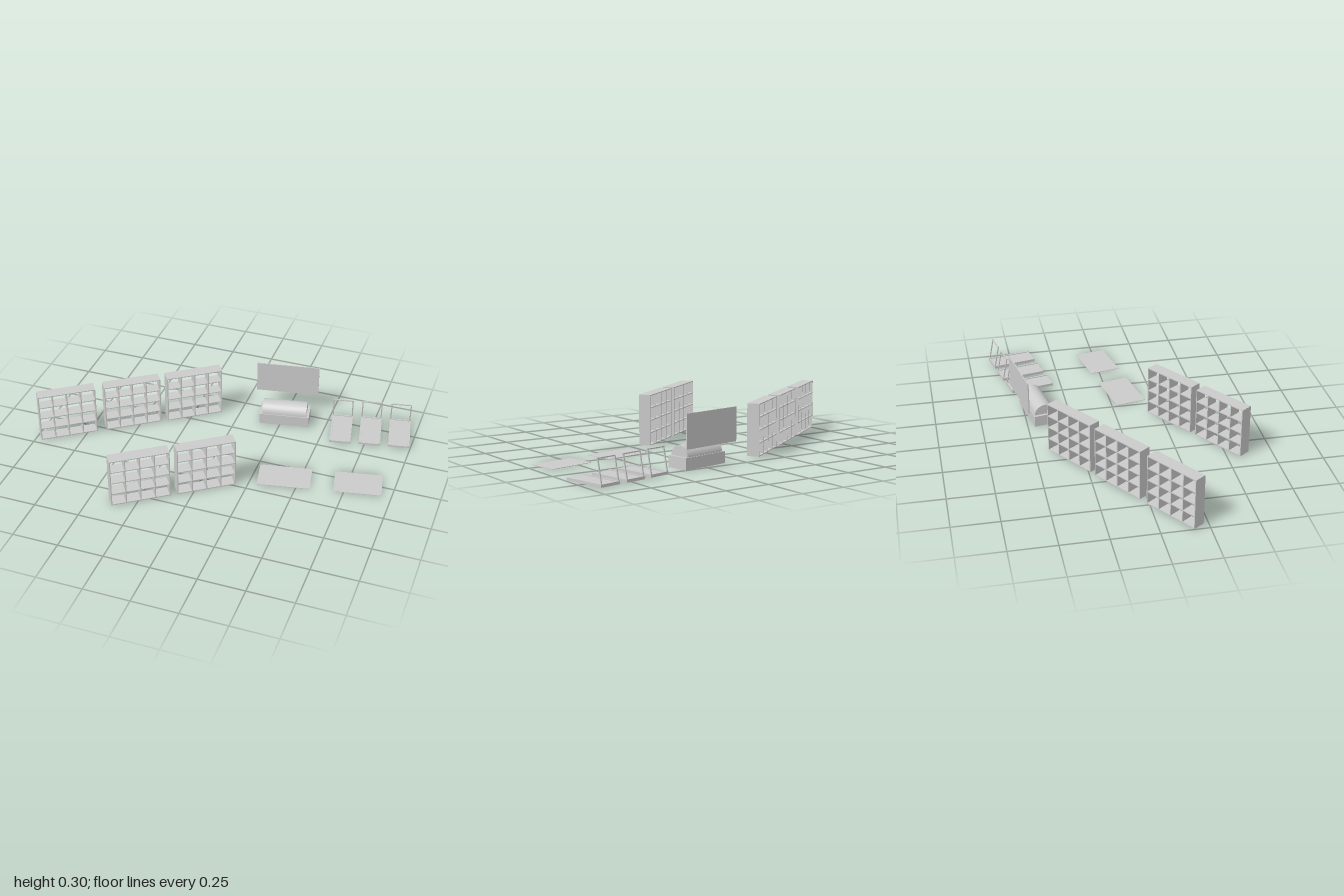
import * as THREE from 'three';

const mat = new THREE.MeshStandardMaterial({ color: 0xcccccc, side: THREE.DoubleSide });
const rad = THREE.MathUtils.degToRad;

function add(parent, name, geometry, x, y, z) {
  const mesh = new THREE.Mesh(geometry, mat);
  mesh.name = name;
  mesh.position.set(x, y, z);
  parent.add(mesh);
  return mesh;
}

const box = (parent, name, w, h, d, x, y, z) =>
  add(parent, name, new THREE.BoxGeometry(w, h, d), x, y, z);

// Group placed on the floor and turned about y
function place(parent, name, x, z, degrees) {
  const g = new THREE.Group();
  g.name = name;
  g.position.set(x, 0, z);
  g.rotation.y = rad(degrees);
  parent.add(g);
  return g;
}

// Open shelving unit: four columns by four rows, see-through
function buildShelf(g) {
  const w = 0.319, h = 0.282, d = 0.068, t = 0.005, base = 0.003;
  for (let i = 0; i <= 4; i++) {
    const f = i / 4 - 0.5;
    box(g, 'upright', t, h, d, f * (w - t), base + h / 2, 0);
    box(g, 'shelfBoard', w, t, d, 0, base + t / 2 + (i / 4) * (h - t), 0);
  }
}

// Treadmill: deck, side rails and a handle frame leaning over the deck
function buildTreadmill(g) {
  const w = 0.118, len = 0.25, t = 0.006, lean = 0.026, top = 0.142, foot = 0.015;
  box(g, 'deck', w, 0.011, len, 0, 0.0085, 0);
  for (const s of [-1, 1]) {
    box(g, 'sideRail', 0.01, 0.015, len, s * (w / 2 - 0.005), 0.0105, 0);
    const rise = top - foot;
    const post = box(g, 'handlePost', t, Math.hypot(rise, lean), t,
      s * (w / 2 - 0.005), (top + foot) / 2, -len / 2 + 0.004 + lean / 2);
    post.rotation.x = Math.atan2(lean, rise);
  }
  box(g, 'handleBar', w - 0.005, t, t, 0, top - t / 2, -len / 2 + 0.003 + lean);
  box(g, 'rearBar', w, 0.015, 0.008, 0, 0.0105, -len / 2 + 0.004);
}

// Counter: solid base topped by a half-round cover
function buildCounter(g) {
  box(g, 'counterBase', 0.28, 0.062, 0.126, 0, 0.034, 0);
  const cover = add(g, 'roundedCover',
    new THREE.CylinderGeometry(0.058, 0.058, 0.25, 48), 0, 0.063, 0);
  cover.rotation.z = Math.PI / 2;
}

export function createModel() {
  const model = new THREE.Group();
  model.name = 'shopFloor';

  // Two diagonal rows of shelving
  for (const [x, z] of [[-0.85, 0.105], [-0.546, -0.104], [-0.25, -0.305], [-0.254, 0.505], [0.039, 0.302]])
    buildShelf(place(model, 'shelfUnit', x, z, 35));

  // Treadmills side by side
  for (const [x, z] of [[0.594, -0.428], [0.754, -0.463], [0.914, -0.495]])
    buildTreadmill(place(model, 'treadmill', x, z, 11));

  buildCounter(place(model, 'counter', 0.262, -0.425, 10.5));

  // Raised panel behind the counter
  box(place(model, 'wallPanel', 0.243, -0.527, 10), 'panelBoard', 0.353, 0.18, 0.006, 0, 0.208, 0);

  // Floor mats
  for (const [x, z, w] of [[0.417, 0.086, 0.284], [0.805, 0.012, 0.256]])
    box(place(model, 'floorMat', x, z, 11), 'mat', w, 0.002, 0.174, 0, 0.001, 0);

  return model;
}
